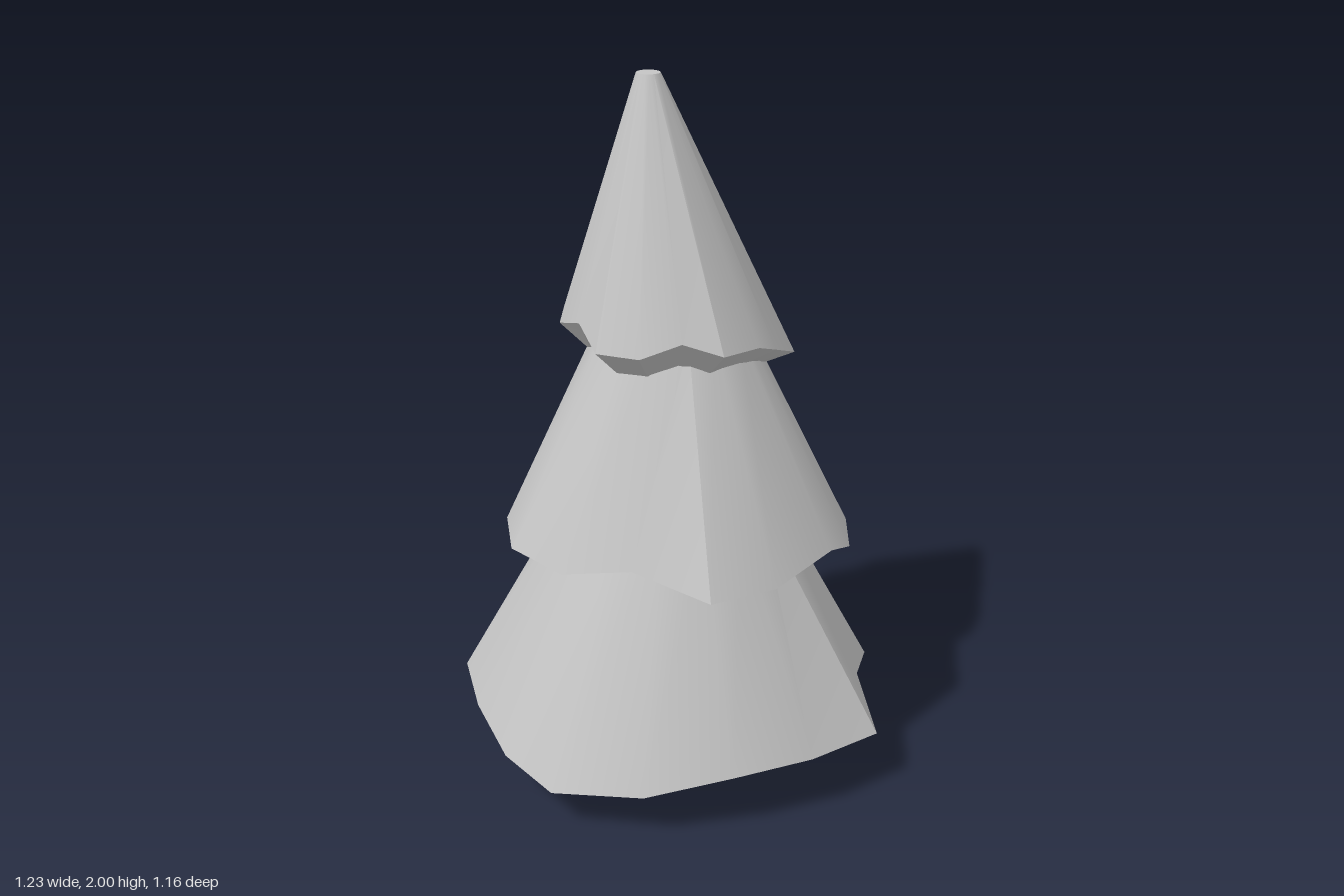
import * as THREE from 'three';
import { toCreasedNormals } from 'three/addons/utils/BufferGeometryUtils.js';

// Ragged rims as [x, y, z], running back -> left -> front -> right
const topRim = [
  [-0.05, 1.31, -0.36], [0.08, 1.3, -0.325], [0.185, 1.28, -0.263], [0.29, 1.24, -0.144],
  [0.348, 1.22, -0.045], [0.3, 1.27, 0.08], [0.258, 1.3, 0.154], [0.17, 1.31, 0.263],
  [0.06, 1.345, 0.273], [-0.05, 1.31, 0.303], [-0.17, 1.31, 0.267], [-0.23, 1.35, 0.14],
  [-0.3, 1.31, 0.025], [-0.308, 1.31, -0.114], [-0.24, 1.34, -0.22], [-0.146, 1.34, -0.27],
];
const middleRim = [
  [-0.05, 0.7, -0.495], [0.146, 0.67, -0.495], [0.358, 0.61, -0.432], [0.45, 0.66, -0.286],
  [0.51, 0.69, -0.094], [0.52, 0.7, 0.108], [0.47, 0.72, 0.18], [0.325, 0.705, 0.396],
  [0.156, 0.7, 0.492], [-0.063, 0.745, 0.41], [-0.258, 0.71, 0.373], [-0.42, 0.71, 0.227],
  [-0.467, 0.71, 0.028], [-0.407, 0.74, -0.134], [-0.414, 0.7, -0.34], [-0.225, 0.72, -0.44],
];
const bottomRim = [
  [-0.003, 0.215, -0.54], [0.232, 0.185, -0.56], [0.477, 0.18, -0.432], [0.586, 0.185, -0.21],
  [0.56, 0.225, -0.008], [0.617, 0.18, 0.247], [0.437, 0.185, 0.406], [0.225, 0.185, 0.52],
  [-0.017, 0.145, 0.578], [-0.275, 0.125, 0.545], [-0.424, 0.15, 0.41], [-0.54, 0.185, 0.204],
  [-0.617, 0.19, -0.025], [-0.507, 0.22, -0.227], [-0.467, 0.2, -0.422], [-0.3, 0.185, -0.585],
];

// Circle whose points line up with the rim's directions
function circle(rim, radius, y, cx = 0, cz = 0) {
  return rim.map(([x, , z]) => {
    const a = Math.atan2(z, x);
    return [cx + radius * Math.cos(a), y, cz + radius * Math.sin(a)];
  });
}

// Skin through successive rings, smooth except at strong folds
function skin(rings) {
  const positions = [];
  for (let k = 0; k < rings.length - 1; k++) {
    const lower = rings[k], upper = rings[k + 1];
    for (let i = 0; i < lower.length; i++) {
      const j = (i + 1) % lower.length;
      positions.push(...lower[j], ...lower[i], ...upper[i]);
      positions.push(...lower[j], ...upper[i], ...upper[j]);
    }
  }
  const geometry = new THREE.BufferGeometry();
  geometry.setAttribute('position', new THREE.Float32BufferAttribute(positions, 3));
  return toCreasedNormals(geometry, 0.52);
}

export function createModel() {
  const tree = new THREE.Group();
  tree.name = 'pineTree';
  const grey = new THREE.MeshStandardMaterial({ color: 0xc4c4c4, side: THREE.DoubleSide });
  grey.name = 'plain grey';
  const add = (name, geometry) => {
    const mesh = new THREE.Mesh(geometry, grey);
    mesh.name = name;
    tree.add(mesh);
  };

  // Trunk, flared at the foot and closed underneath
  const profile = [[0, 0], [0.137, 0], [0.118, 0.17], [0.096, 0.33], [0.09, 0.45], [0.1, 0.62]];
  const trunk = new THREE.LatheGeometry(profile.map(([r, y]) => new THREE.Vector2(r, y)), 20);
  trunk.translate(0.005, 0, -0.012);
  add('trunk', toCreasedNormals(trunk, 0.7));

  // Bottom tier, hollow up to the trunk
  add('bottomFoliage', skin([
    circle(bottomRim, 0.08, 0.6), bottomRim, circle(bottomRim, 0.285, 0.8, 0.005, 0),
  ]));

  // Middle tier, its underside rising to the tier below
  add('middleFoliage', skin([
    circle(middleRim, 0.28, 0.79), middleRim, circle(middleRim, 0.2, 1.32, 0.01, -0.005),
  ]));

  // Top tier, its underside tucking down and inward, with a small flat tip
  const tuck = topRim.map(([x, y, z]) => [x * 0.72, 1.23 + 0.5 * (y - 1.31), z * 0.72]);
  add('topFoliage', skin([
    tuck, topRim, circle(topRim, 0.033, 2, -0.055, -0.013), circle(topRim, 0, 2, -0.055, -0.013),
  ]));

  return tree;
}
